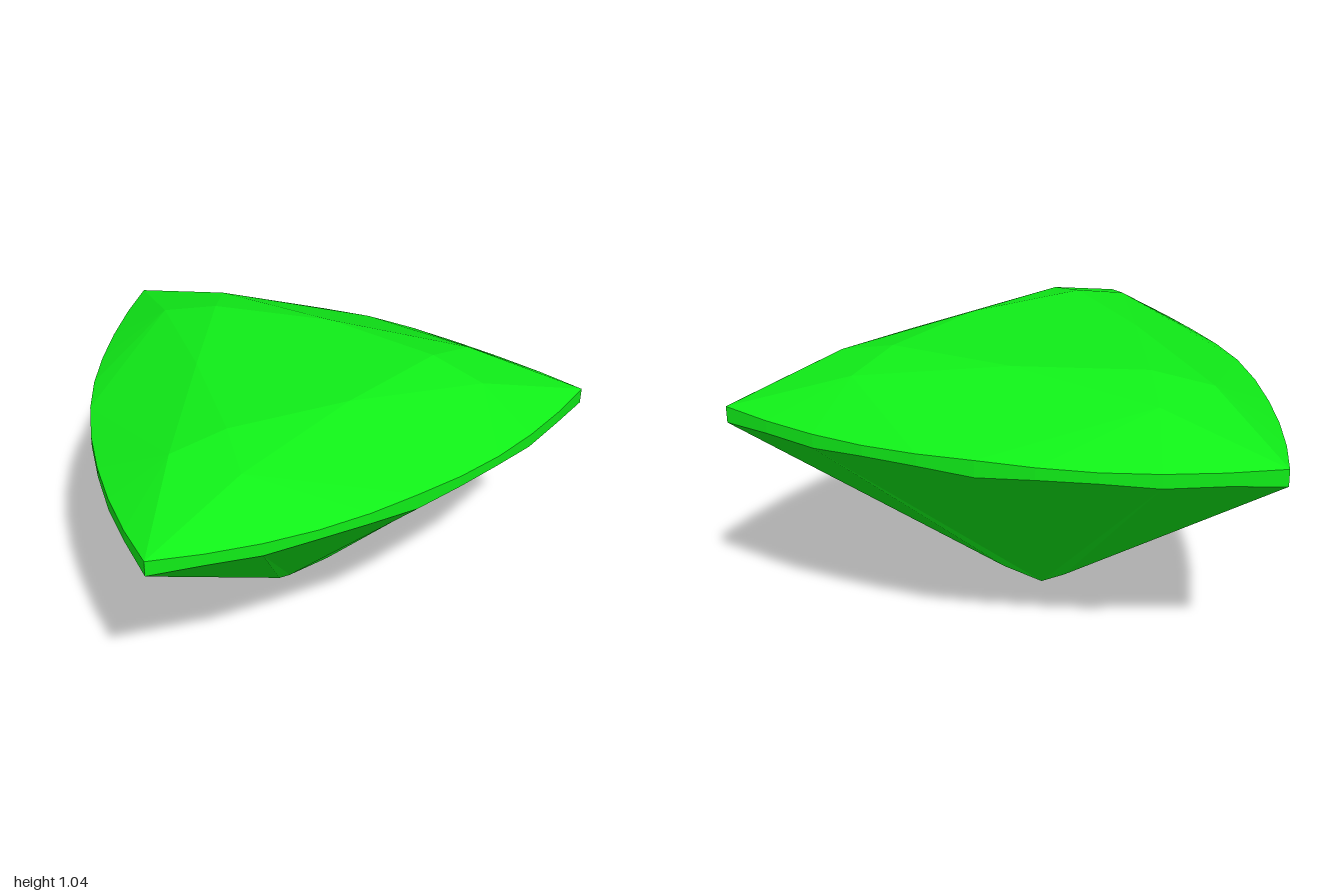
import * as THREE from 'three';

const CENTRE_Z = -0.188; // axis of the three-fold symmetry
const TABLE_Y = 1.045;
const KITE_Y = 0.995;

// Half of one curved side, from its middle to the corner: x, z, lower y, upper y
const RIM = [
  [0, -0.785, 0.805, 0.867],
  [0.205, -0.776, 0.817, 0.862],
  [0.41, -0.748, 0.817, 0.857],
  [0.61, -0.705, 0.805, 0.857],
  [0.81, -0.647, 0.813, 0.861],
  [1, -0.577, 0.805, 0.867],
];

// Builds a flat-shaded mesh from triangles, each turned to face outwards
function facetMesh(name, triangles, material) {
  const inside = new THREE.Vector3(0, 0.7, 0);
  const points = [];
  for (const [a, b, c] of triangles) {
    const normal = b.clone().sub(a).cross(c.clone().sub(a));
    const outward = a.clone().add(b).add(c).divideScalar(3).sub(inside);
    points.push(...(normal.dot(outward) < 0 ? [a, c, b] : [a, b, c]));
  }
  const geometry = new THREE.BufferGeometry().setFromPoints(points);
  geometry.computeVertexNormals();
  const mesh = new THREE.Mesh(geometry, material);
  mesh.name = name;
  return mesh;
}

export function createModel() {
  const table = [], crown = [], girdle = [], pavilion = [];
  const up = new THREE.Vector3(0, 1, 0);

  // Six mirrored halves: three sides, left and right of each middle
  for (let side = 0; side < 3; side++) {
    for (const mirror of [1, -1]) {
      const p = (x, y, z) =>
        new THREE.Vector3(x * mirror, y, z).applyAxisAngle(up, (side * Math.PI * 2) / 3);
      const lower = RIM.map(([x, z, y]) => p(x, y, z));
      const upper = RIM.map(([x, z, , y]) => p(x, y, z));

      // Flat table
      const tableMiddle = p(0, TABLE_Y, -0.367);
      const tableCorner = p(0.475, TABLE_Y, -0.274);
      table.push([p(0, TABLE_Y, 0), tableMiddle, tableCorner]);

      // Crown: star facet, half main kite, half corner kite, rim facet
      const kite = p(0.55, KITE_Y, -0.483);
      crown.push([tableMiddle, tableCorner, kite]);
      crown.push([tableMiddle, kite, upper[0]]);
      crown.push([tableCorner, kite, upper[5]]);

      // Pavilion: narrow keel kite at the corner, then fans to the culet
      const culet = p(0, 0, 0);
      const keel = p(0.121, 0.1, -0.098);
      pavilion.push([culet, keel, lower[5]], [culet, keel, lower[3]]);

      for (let i = 0; i < 5; i++) {
        crown.push([kite, upper[i], upper[i + 1]]);
        girdle.push([lower[i], lower[i + 1], upper[i + 1]], [lower[i], upper[i + 1], upper[i]]);
        pavilion.push([i < 3 ? culet : keel, lower[i], lower[i + 1]]);
      }
    }
  }

  const material = new THREE.MeshStandardMaterial({ color: 0x10ee18, flatShading: true });
  const gem = new THREE.Group();
  gem.name = 'gem';
  gem.add(
    facetMesh('table', table, material),
    facetMesh('crown', crown, material),
    facetMesh('girdle', girdle, material),
    facetMesh('pavilion', pavilion, material),
  );
  gem.position.z = CENTRE_Z;

  const model = new THREE.Group();
  model.name = 'trillionCutGem';
  model.add(gem);
  return model;
}
